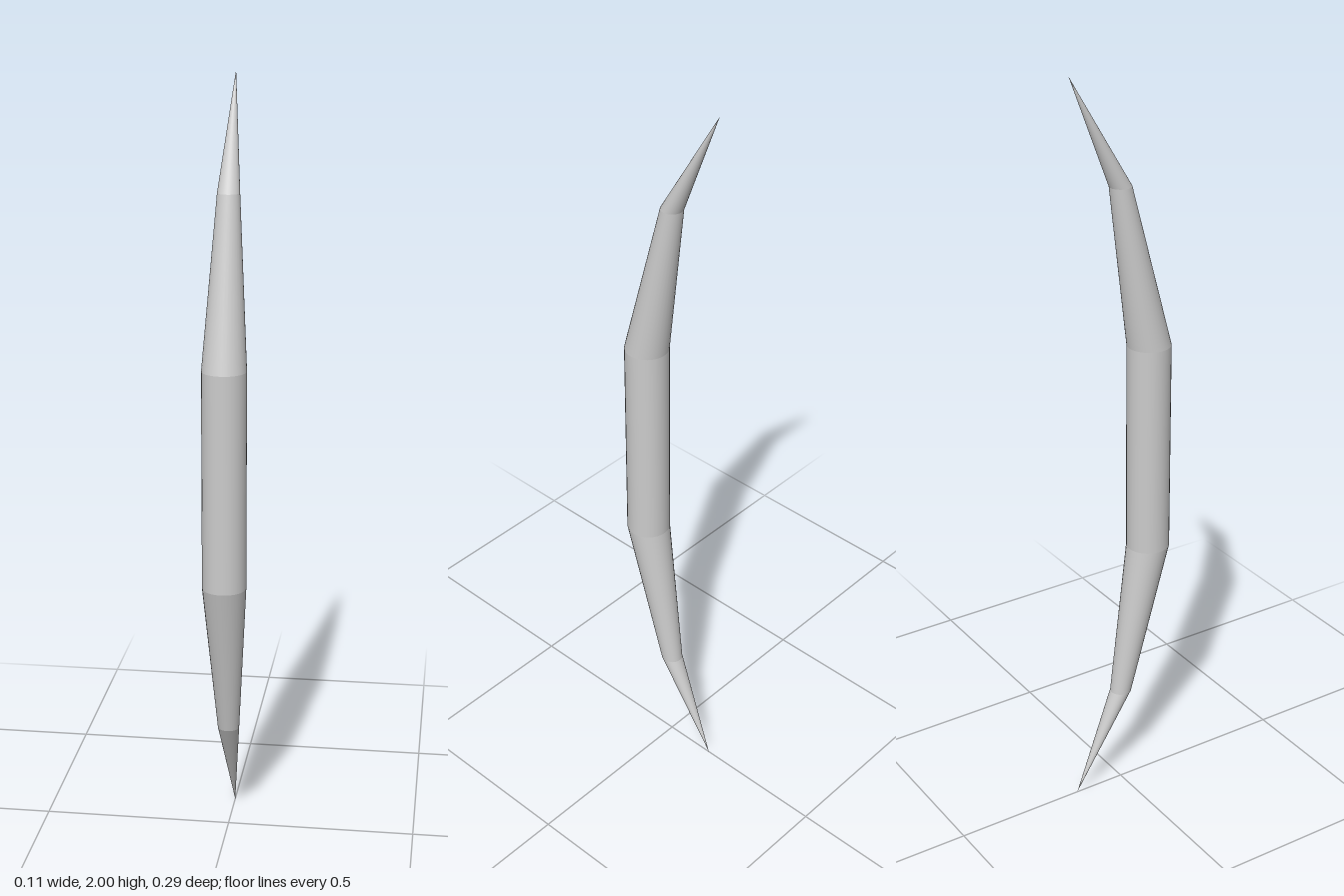
import * as THREE from 'three';

const U = 2 / 7; // the bow is seven units tall

export function createModel() {
  const bow = new THREE.Group();
  bow.name = 'bow';
  const material = new THREE.MeshStandardMaterial({ color: 0xcccccc });

  // Round section with level ends, sheared so its centre line runs from (y0, z0) to (y1, z1)
  function section(name, [y0, z0, r0], [y1, z1, r1]) {
    const height = (y1 - y0) * U;
    const geometry = new THREE.CylinderGeometry(r1 * U, r0 * U, height, 32, 1, true);
    const shear = (z1 - z0) / (y1 - y0);
    geometry.applyMatrix4(new THREE.Matrix4().set(
      1, 0, 0, 0,
      0, 1, 0, 0,
      0, shear, 1, 0,
      0, 0, 0, 1
    ));
    geometry.translate(0, (y0 + y1) / 2 * U, (z0 + z1) / 2 * U);
    const mesh = new THREE.Mesh(geometry, material);
    mesh.name = name;
    bow.add(mesh);
  }

  // Stations from bottom to top: height, depth, radius
  const stations = [
    [0, -0.5, 0],
    [1, 0, 0.1],
    [2.5, 0.3, 0.2],
    [4.5, 0.3, 0.2],
    [6, 0, 0.1],
    [7, -0.5, 0],
  ];
  const names = ['lowerTip', 'lowerLimb', 'grip', 'upperLimb', 'upperTip'];
  names.forEach((name, i) => section(name, stations[i], stations[i + 1]));

  return bow;
}
